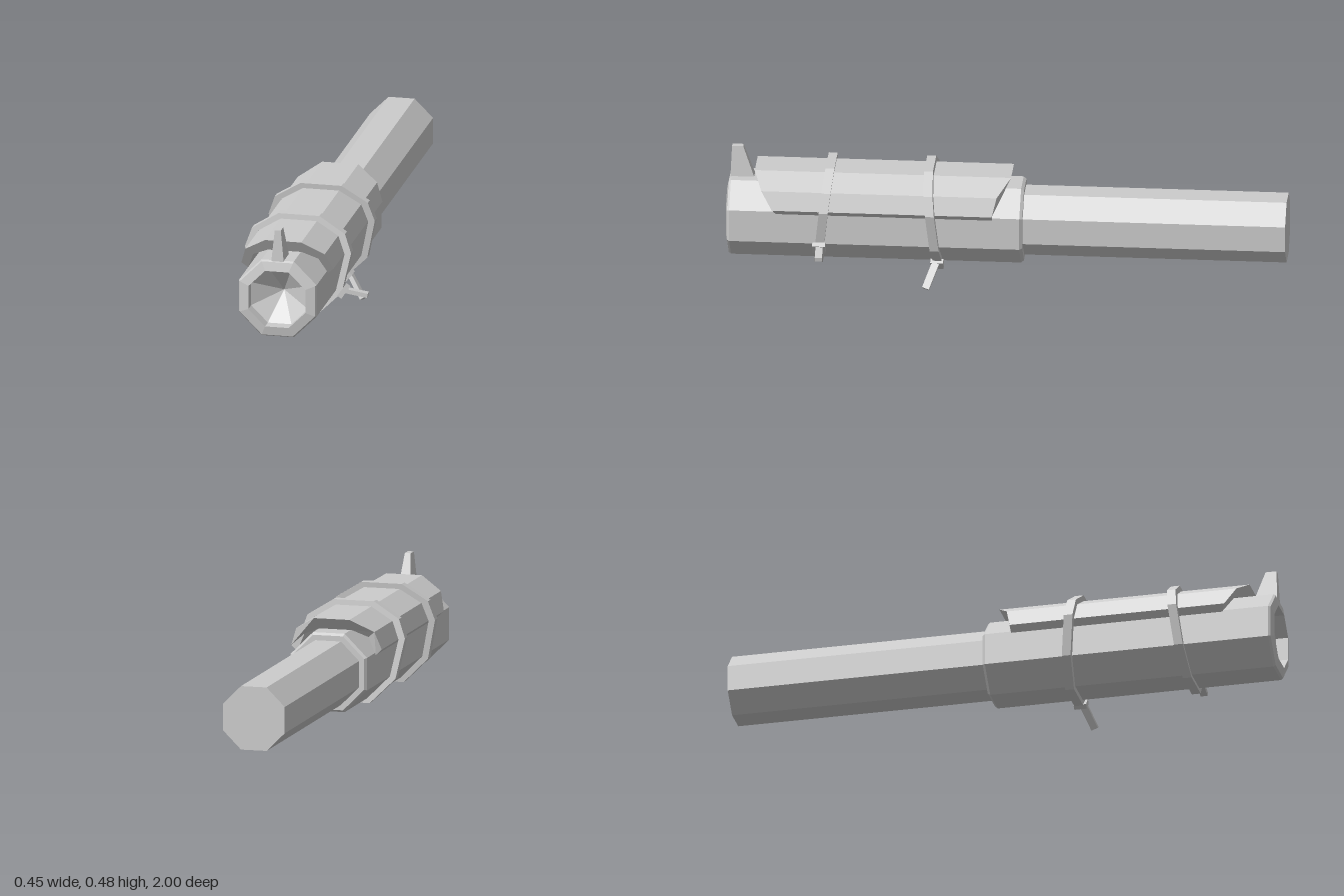
import * as THREE from 'three';

const CX = -0.033; // tube axis
const CY = 0.224;

export function createModel() {
  const root = new THREE.Group();
  const mat = new THREE.MeshStandardMaterial({ color: 0xcccccc, flatShading: true });

  const add = (name, geo, parent = root) => {
    const mesh = new THREE.Mesh(geo, mat);
    mesh.name = name;
    parent.add(mesh);
    return mesh;
  };
  // move every vertex of a geometry by a rule
  const warp = (geo, rule) => {
    const p = geo.attributes.position;
    const v = new THREE.Vector3();
    for (let i = 0; i < p.count; i++) {
      rule(v.fromBufferAttribute(p, i));
      p.setXYZ(i, v.x, v.y, v.z);
    }
    geo.computeVertexNormals();
    return geo;
  };
  const points = (list) => list.map(([x, y]) => new THREE.Vector2(x, y));
  // half outline (offset from axis, y), mirrored to a full run from right to left
  const mirrored = (half) => [
    ...half.map(([x, y]) => [CX + x, y]),
    ...half.slice().reverse().map(([x, y]) => [CX - x, y]),
  ];

  // octagonal body: thin rear tube, wide sleeve, bevelled muzzle and recessed bore
  const R = 1 / Math.cos(Math.PI / 8);
  const profile = points([
    [0, -1], [0.115, -1], [0.115, -0.062], [0.134, -0.062], [0.142, -0.052],
    [0.142, 0.985], [0.137, 0.993], [0.104, 1], [0.104, 0.955], [0, 0.88],
  ].map(([r, z]) => [r * R, z]));
  const body = new THREE.LatheGeometry(profile, 8, Math.PI / 8);
  body.rotateX(Math.PI / 2);
  add('tubeBody', body).position.set(CX, CY, 0);

  // curved cover plate with slanted ends
  const coverOuter = mirrored([[0.168, 0.297], [0.145, 0.362], [0.066, 0.41]]);
  const coverInner = mirrored([[0.146, 0.276], [0.119, 0.34], [0.062, 0.366]]).reverse();
  const cover = new THREE.ExtrudeGeometry(
    new THREE.Shape(points([...coverOuter, ...coverInner])),
    { depth: 1, bevelEnabled: false });
  add('coverPlate', warp(cover, (v) => {
    const front = 0.82 + (v.y - 0.28) * 0.61;
    const rear = 0.045 - Math.max(0, v.y - 0.345) * 0.95;
    v.z = v.z > 0.5 ? front : rear;
  }));

  // tilted straps around tube and cover
  const strapOuter = mirrored([
    [0.07, 0.066], [0.163, 0.157], [0.194, 0.302], [0.17, 0.37], [0.075, 0.429]]);
  const strapInner = mirrored([
    [0.058, 0.082], [0.142, 0.165], [0.17, 0.297], [0.146, 0.362], [0.066, 0.41]]);

  // flat strip from a to b in 3D
  const strip = (name, a, b, thick, wide, parent) => {
    const from = new THREE.Vector3(...a);
    const to = new THREE.Vector3(...b);
    const mesh = add(name, new THREE.BoxGeometry(thick, wide, from.distanceTo(to)), parent);
    mesh.position.copy(from).lerp(to, 0.5);
    mesh.up.set(0, 0, 1);
    mesh.lookAt(to);
  };

  const straps = [
    { name: 'frontStrap', z: 0.63, tilt: 0.115, buckle: [0.135, 0.16, 0.662], turn: -0.6,
      tail: [[0.138, 0.164, 0.66], [0.222, 0.15, 0.657]] },
    { name: 'rearStrap', z: 0.278, tilt: -0.1, buckle: [0.055, 0.079, 0.246], turn: -0.7,
      tail: [[0.062, 0.09, 0.248], [0.119, 0.008, 0.282]] },
  ];
  for (const s of straps) {
    const group = new THREE.Group();
    group.name = s.name;
    root.add(group);
    const shape = new THREE.Shape(points(strapOuter));
    shape.holes.push(new THREE.Path(points(strapInner)));
    const band = new THREE.ExtrudeGeometry(shape, { depth: 0.032, bevelEnabled: false });
    add('band', warp(band, (v) => {
      v.z += s.z - 0.016 + (0.43 - v.y) * s.tilt;
    }), group);
    const buckle = add('buckle', new THREE.BoxGeometry(0.018, 0.042, 0.046), group);
    buckle.position.set(...s.buckle);
    buckle.rotation.z = s.turn;
    strip('looseEnd', ...s.tail, 0.016, 0.026, group);
  }

  // tapered front sight
  add('frontSight', warp(new THREE.BoxGeometry(2, 1, 1), (v) => {
    const top = v.y > 0;
    v.x = CX + v.x * (top ? 0.011 : 0.023);
    v.z = v.z > 0 ? (top ? 0.985 : 0.99) : (top ? 0.945 : 0.903);
    v.y = top ? 0.478 : 0.36;
  }));

  return root;
}
